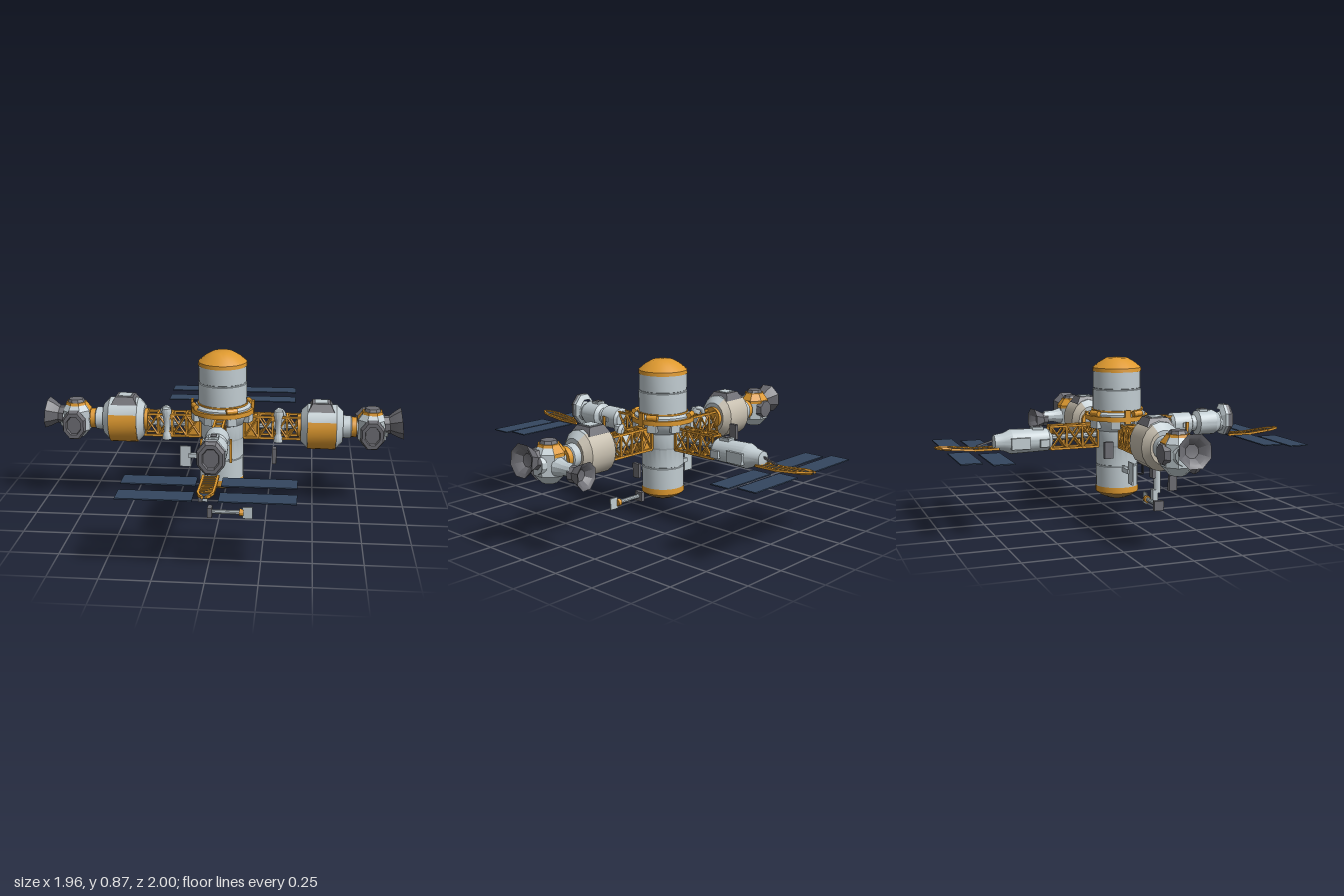
import * as THREE from 'three';
import { toCreasedNormals } from 'three/addons/utils/BufferGeometryUtils.js';

const paint = (name, color) => Object.assign(new THREE.MeshStandardMaterial({ color }), { name });
const light = paint('pale grey hull', 0xc1ccd1);
const orange = paint('orange', 0xde992f);
const bronze = paint('bronze', 0xa07c44);
const dark = paint('dark grey', 0x6c6c72);
const navy = paint('solar blue', 0x34465f);
const tan = paint('beige', 0xc6beae);
const black = paint('near black', 0x2c2e33);

function add(parent, name, geo, mat, x = 0, y = 0, z = 0) {
  const m = new THREE.Mesh(geo, mat);
  m.name = name;
  m.position.set(x, y, z);
  parent.add(m);
  return m;
}
const box = (w, h, d) => new THREE.BoxGeometry(w, h, d);

// Turned body from [distance along axis, radius] pairs, pointing along dir; may be a sector
function turned(profile, dir = 'y', segs = 24, start = Math.PI / segs, sweep = Math.PI * 2) {
  const g = new THREE.LatheGeometry(profile.map(([a, r]) => new THREE.Vector2(r, a)), segs, start, sweep);
  if (dir === '+x') g.rotateZ(-Math.PI / 2);
  if (dir === '-x') g.rotateZ(Math.PI / 2);
  if (dir === '+z') g.rotateX(Math.PI / 2);
  if (dir === '-z') g.rotateX(-Math.PI / 2);
  return toCreasedNormals(g, 0.5);
}

// Square bar between two points
function strut(parent, a, b, t, mat, name = 'strut') {
  const p = new THREE.Vector3(...a), q = new THREE.Vector3(...b);
  const m = add(parent, name, box(t, t, p.distanceTo(q)), mat);
  m.position.copy(p).add(q).multiplyScalar(0.5);
  m.quaternion.setFromUnitVectors(new THREE.Vector3(0, 0, 1), q.sub(p).normalize());
}

// Cross-braced lattice running along local +x, then turned about y
function truss(parent, name, from, to, y, h, w, bays, angle) {
  const g = new THREE.Group();
  g.name = name;
  g.rotation.y = angle;
  parent.add(g);
  const step = (to - from) / bays, lo = y - h, hi = y + h;
  for (const s of [-1, 1]) {
    for (const yy of [lo, hi]) strut(g, [from, yy, s * w], [to, yy, s * w], 0.012, orange, 'chord');
    for (let i = 0; i <= bays; i++) {
      const x = from + i * step;
      strut(g, [x, lo, s * w], [x, hi, s * w], 0.011, orange, 'post');
      strut(g, [x, y + s * h, -w], [x, y + s * h, w], 0.011, orange, 'crossbar');
      if (i === bays) continue;
      strut(g, [x, lo, s * w], [x + step, hi, s * w], 0.009, orange, 'brace');
      strut(g, [x, hi, s * w], [x + step, lo, s * w], 0.009, orange, 'brace');
    }
  }
  add(g, 'conduit', turned([[from, 0.016], [to, 0.016]], '+x', 10), light, 0, y);
}

// Hollow flared docking horn
function horn(parent, name, len, r, dir, x, y, z) {
  const g = turned([[0, r * 0.6], [len * 0.3, r * 0.55], [len * 0.65, r * 0.8], [len, r], [len * 0.9, r * 0.75], [len * 0.6, r * 0.4], [len * 0.55, 0]], dir, 8);
  return add(parent, name, g, dark, x, y, z);
}

function buildCore(root) {
  const g = new THREE.Group();
  g.name = 'core';
  root.add(g);
  add(g, 'topDome', turned([[0.795, 0.133], [0.815, 0.131], [0.845, 0.095], [0.866, 0.058], [0.87, 0]]), orange);
  add(g, 'upperHull', turned([[0.57, 0.132], [0.698, 0.132], [0.7, 0.127], [0.705, 0.127], [0.707, 0.13], [0.8, 0.13]]), light);
  add(g, 'collar', turned([[0.47, 0.115], [0.5, 0.14], [0.53, 0.155], [0.57, 0.155], [0.585, 0.132]]), light);
  add(g, 'lowerHull', turned([[0.16, 0.115], [0.28, 0.115], [0.283, 0.111], [0.288, 0.111], [0.29, 0.115], [0.39, 0.115], [0.4, 0.12], [0.48, 0.12]]), light);
  add(g, 'bottomBand', turned([[0.132, 0.113], [0.136, 0.117], [0.168, 0.117]]), orange);
  add(g, 'bottomDome', turned([[0.1, 0], [0.1, 0.055], [0.115, 0.09], [0.132, 0.113]]), bronze);
  add(g, 'ringBand', turned([[0.535, 0.15], [0.535, 0.172], [0.56, 0.172], [0.56, 0.15]], 'y', 16), orange);
  add(g, 'upperBand', turned([[0.575, 0.13], [0.575, 0.138], [0.59, 0.138], [0.59, 0.13]]), orange);
  // Housings and tanks spaced around the ring
  for (let i = 0; i < 8; i++) {
    const a = (i + 0.5) * Math.PI / 4, s = Math.sin(a), c = Math.cos(a);
    add(g, 'ringHousing', box(0.05, 0.04, 0.03), light, 0.155 * s, 0.515, 0.155 * c).rotation.y = a;
    if (i % 2) continue;
    add(g, 'ringTank', turned([[-0.03, 0], [-0.03, 0.015], [0.03, 0.015], [0.03, 0]], '+x', 12), orange, 0.158 * s, 0.575, 0.158 * c).rotation.y = a;
  }
  for (const s of [-1, 1]) add(g, 'ringBracket', box(0.015, 0.075, 0.03), orange, s * 0.166, 0.56, 0);
}

function buildSideArm(root, s) {
  const g = new THREE.Group();
  g.name = s > 0 ? 'leftArm' : 'rightArm';
  root.add(g);
  const dir = s > 0 ? '+x' : '-x', y = s > 0 ? 0.462 : 0.475;
  truss(g, 'sideTruss', 0.12, 0.43, 0.455, 0.06, 0.032, 4, s > 0 ? 0 : Math.PI);
  add(g, 'trussRoot', box(0.07, 0.12, 0.05), orange, s * 0.155, 0.455);
  // Mast and spool gripping the truss
  add(g, 'mast', turned([[0.375, 0], [0.375, 0.026], [0.4, 0.024], [0.42, 0.016], [0.49, 0.018], [0.53, 0.028], [0.55, 0.024], [0.555, 0]], 'y', 12), light, s * 0.305, 0, 0.028);
  add(g, 'mastSpool', turned([[0.268, 0], [0.268, 0.034], [0.342, 0.034], [0.342, 0]], dir, 12), light, 0, 0.465);
  const hook = new THREE.CatmullRomCurve3([[0.3, 0.53, 0.03], [0.3, 0.55, 0.01], [0.325, 0.54, 0], [0.34, 0.5, 0]].map(([a, b, c]) => new THREE.Vector3(s * a, b, c)));
  add(g, 'mastHook', new THREE.TubeGeometry(hook, 12, 0.012, 8), light);
  // Habitat: pale front and top, beige back and belly, orange front panel
  const shell = [[-0.113, 0], [-0.113, 0.075], [-0.078, 0.107], [0.078, 0.107], [0.113, 0.075], [0.113, 0]];
  const panel = [[-0.076, 0.1], [-0.076, 0.1105], [0.076, 0.1105], [0.076, 0.1]];
  for (const [name, mat, profile, from, to] of [
    ['habitatFront', light, shell, -2.05, 1.3], ['habitatBack', tan, shell, 1.3, 4.233], ['habitatPanel', orange, panel, -0.4, 1.25],
  ]) {
    const part = turned(profile, '+x', 8, from, to - from);
    part.scale(1, 1.15, 1);
    add(g, name, part, mat, s * 0.54, y);
  }
  const cup = new THREE.CylinderGeometry(0.068, 0.1, 0.04, 4, 1).rotateY(Math.PI / 4);
  add(g, 'cupola', toCreasedNormals(cup, 0.3), dark, s * 0.535, y + 0.117);
  add(g, 'cupolaWindow', box(0.07, 0.006, 0.07), light, s * 0.535, y + 0.138);
  // Necks
  add(g, 'neck', turned([[0.64, 0.062], [0.695, 0.062], [0.71, 0.035], [0.76, 0.035]], dir, 16), light, 0, y);
  for (const [a, r] of [[0.408, 0.062], [0.7, 0.055]]) {
    add(g, 'neckRing', turned([[a, 0], [a, r], [a + 0.028, r], [a + 0.028, 0]], dir, 16), orange, 0, y);
  }
  // Docking node with orange shoulder facets
  const nx = s * 0.81;
  add(g, 'node', turned([[-0.105, 0], [-0.105, 0.04], [-0.06, 0.082], [0.05, 0.082], [0.09, 0.05], [0.09, 0]], 'y', 8), light, nx, y);
  add(g, 'nodeShoulder', turned([[0.035, 0.085], [0.052, 0.085], [0.092, 0.054]], 'y', 3, Math.PI * (s > 0 ? 0.875 : 0.375), Math.PI * 0.75), orange, nx, y);
  add(g, 'nodeCapRing', turned([[0.08, 0.06], [0.094, 0.056], [0.094, 0]], 'y', 8), orange, nx, y);
  add(g, 'nodeCap', turned([[0.09, 0.05], [0.11, 0.04], [0.11, 0]], 'y', 8), dark, nx, y);
  const port = turned([[0.05, 0.05], [0.075, 0.085], [0.102, 0.073], [0.102, 0.052], [0.085, 0.048], [0.085, 0]], '+z', 8);
  port.scale(0.82, 1.05, 1);
  add(g, 'frontPort', port, dark, nx, y - 0.02);
  add(g, 'endCollar', turned([[0.87, 0.055], [0.895, 0.05]], dir, 12), light, 0, y);
  const end = horn(g, 'endHorn', 0.095, 0.087, dir, s * 0.875, y + 0.02, 0.015);
  end.rotation.z = s * 0.12;
  if (s > 0) {
    add(g, 'backNeck', turned([[0.07, 0.05], [0.12, 0.035], [0.18, 0.035]], '-z', 12), light, nx, y - 0.015);
    const back = horn(g, 'backHorn', 0.09, 0.073, '-z', nx, y - 0.03, -0.165);
    back.rotation.y = 0.15;
  } else {
    add(g, 'backPort', turned([[0.06, 0.06], [0.09, 0.05], [0.095, 0]], '-z', 8), dark, nx, y);
  }
}

// Tapered keel and its four solar wings; s gives the z direction
function buildSolar(root, s, reach, rows) {
  const g = new THREE.Group();
  g.name = s > 0 ? 'frontSolarArray' : 'backSolarArray';
  root.add(g);
  const yAt = z => 0.41 + Math.max(0, z - 0.8) * 0.1;
  const stops = [[0.67, 0.036], [0.8, 0.036], [0.92, 0.035], [0.965, 0.024], [0.995, 0.006]];
  for (let i = 0; i < stops.length - 1; i++) {
    const [a, wa] = stops[i], [b, wb] = stops[i + 1];
    for (const k of [-1, 1]) strut(g, [k * wa, yAt(a), s * a], [k * wb, yAt(b), s * b], 0.012, orange, 'keelRail');
    // Deck section between the rails
    const plate = add(g, 'keelDeck', box((wa + wb) * 0.95, 0.006, b - a), navy, 0, (yAt(a) + yAt(b)) / 2 - 0.003, s * (a + b) / 2);
    plate.rotation.x = -s * Math.atan2(yAt(b) - yAt(a), b - a);
  }
  for (let z = 0.69; z < 0.95; z += 0.026) add(g, 'keelRung', box(z < 0.92 ? 0.07 : 0.05, 0.007, 0.006), orange, 0, yAt(z) + 0.002, s * z);
  for (const [a, b, y] of rows) {
    for (const k of [-1, 1]) add(g, 'solarWing', box(reach - 0.06, 0.006, b - a), navy, k * (reach + 0.06) / 2, y, s * (a + b) / 2);
  }
}

function buildFrontArm(root) {
  const g = new THREE.Group();
  g.name = 'frontArm';
  root.add(g);
  truss(g, 'frontTruss', 0.12, 0.32, 0.475, 0.055, 0.024, 3, -Math.PI / 2);
  add(g, 'frontModule', turned([[0.31, 0], [0.31, 0.05], [0.325, 0.063], [0.43, 0.063], [0.44, 0.045], [0.465, 0.045], [0.48, 0.069], [0.58, 0.069], [0.61, 0.052], [0.64, 0.06]], '+z'), light, 0, 0.485);
  add(g, 'sideLugs', box(0.14, 0.025, 0.03), light, 0, 0.485, 0.385);
  add(g, 'topHatch', box(0.05, 0.02, 0.05), light, 0, 0.552, 0.515);
  add(g, 'hatchWindow', box(0.03, 0.006, 0.035), dark, 0, 0.563, 0.515);
  // Head with a dark recessed face
  const head = turned([[0.615, 0.05], [0.635, 0.074], [0.65, 0.074]], '+z', 8);
  const face = turned([[0.65, 0.074], [0.668, 0.074], [0.684, 0.062], [0.684, 0.045], [0.672, 0.04], [0.672, 0]], '+z', 8);
  head.scale(1, 1.25, 1);
  face.scale(1, 1.25, 1);
  add(g, 'head', head, light, 0, 0.498);
  add(g, 'headFace', face, dark, 0, 0.498);
  for (const k of [-1, 1]) add(g, 'orangeRod', box(0.012, 0.125, 0.014), orange, k * 0.075, 0.44, 0.39);
  buildSolar(root, 1, 0.42, [[0.685, 0.795, 0.406], [0.845, 0.955, 0.393]]);
}

function buildBackArm(root) {
  const g = new THREE.Group();
  g.name = 'backArm';
  root.add(g);
  truss(g, 'backTruss', 0.12, 0.385, 0.45, 0.06, 0.028, 3, Math.PI / 2);
  add(g, 'backModule', turned([[0.38, 0], [0.38, 0.045], [0.4, 0.06], [0.6, 0.066], [0.64, 0.048], [0.69, 0.04], [0.7, 0]], '-z'), light, 0, 0.44);
  add(g, 'sideTanks', box(0.15, 0.06, 0.1), light, 0, 0.435, -0.56);
  add(g, 'sidePods', box(0.15, 0.04, 0.05), light, 0, 0.43, -0.43);
  add(g, 'topHatch', box(0.05, 0.02, 0.06), light, 0, 0.502, -0.455);
  add(g, 'hatchWindow', box(0.03, 0.006, 0.035), dark, 0, 0.513, -0.455);
  strut(g, [0, 0.46, -0.66], [0, 0.425, -0.78], 0.01, dark, 'noseBoom');
  buildSolar(root, -1, 0.39, [[0.675, 0.785, 0.392], [0.837, 0.945, 0.406]]);
}

function buildManipulator(root) {
  const g = new THREE.Group();
  g.name = 'manipulator';
  root.add(g);
  add(g, 'column', turned([[0.12, 0], [0.12, 0.02], [0.34, 0.018], [0.35, 0]], 'y', 12), light, -0.085, 0, 0.205);
  add(g, 'columnBacking', box(0.04, 0.15, 0.02), dark, -0.085, 0.28, 0.18);
  add(g, 'columnFoot', box(0.04, 0.06, 0.03), light, -0.085, 0.11, 0.19);
  // Sensor plate on a short arm from the hull
  add(g, 'sensorPlate', box(0.062, 0.12, 0.006), light, -0.208, 0.265, 0);
  strut(g, [-0.19, 0.27, 0], [-0.1, 0.27, 0], 0.024, light, 'plateArm');
  // Handle on the lower hull
  for (const yy of [0.22, 0.28]) strut(g, [-0.03, yy, 0.105], [-0.03, yy, 0.145], 0.008, black, 'handlePost');
  strut(g, [-0.03, 0.22, 0.143], [-0.03, 0.28, 0.143], 0.009, black, 'handleGrip');
  // Low boom
  add(g, 'boomBase', box(0.025, 0.055, 0.055), dark, -0.05, 0.035, 0.23);
  add(g, 'boom', turned([[-0.05, 0.012], [0.12, 0.012]], '+x', 10), light, 0, 0.036, 0.232);
  add(g, 'boomJoint', turned([[0.11, 0], [0.11, 0.02], [0.132, 0.02], [0.132, 0]], '+x', 12), orange, 0, 0.036, 0.232);
  add(g, 'boomPlate', box(0.055, 0.066, 0.008), light, 0.154, 0.036, 0.235);
  // Free-standing instrument boxes
  for (const [x, y, z] of [[0.29, 0.34, 0.153], [-0.093, 0.168, 0.295], [-0.382, 0.43, -0.19]]) {
    add(g, 'instrumentBox', box(0.022, 0.085, 0.046), dark, x, y, z);
  }
}

export function createModel() {
  const root = new THREE.Group();
  root.name = 'spaceStation';
  buildCore(root);
  for (const s of [1, -1]) buildSideArm(root, s);
  buildFrontArm(root);
  buildBackArm(root);
  buildManipulator(root);
  return root;
}
